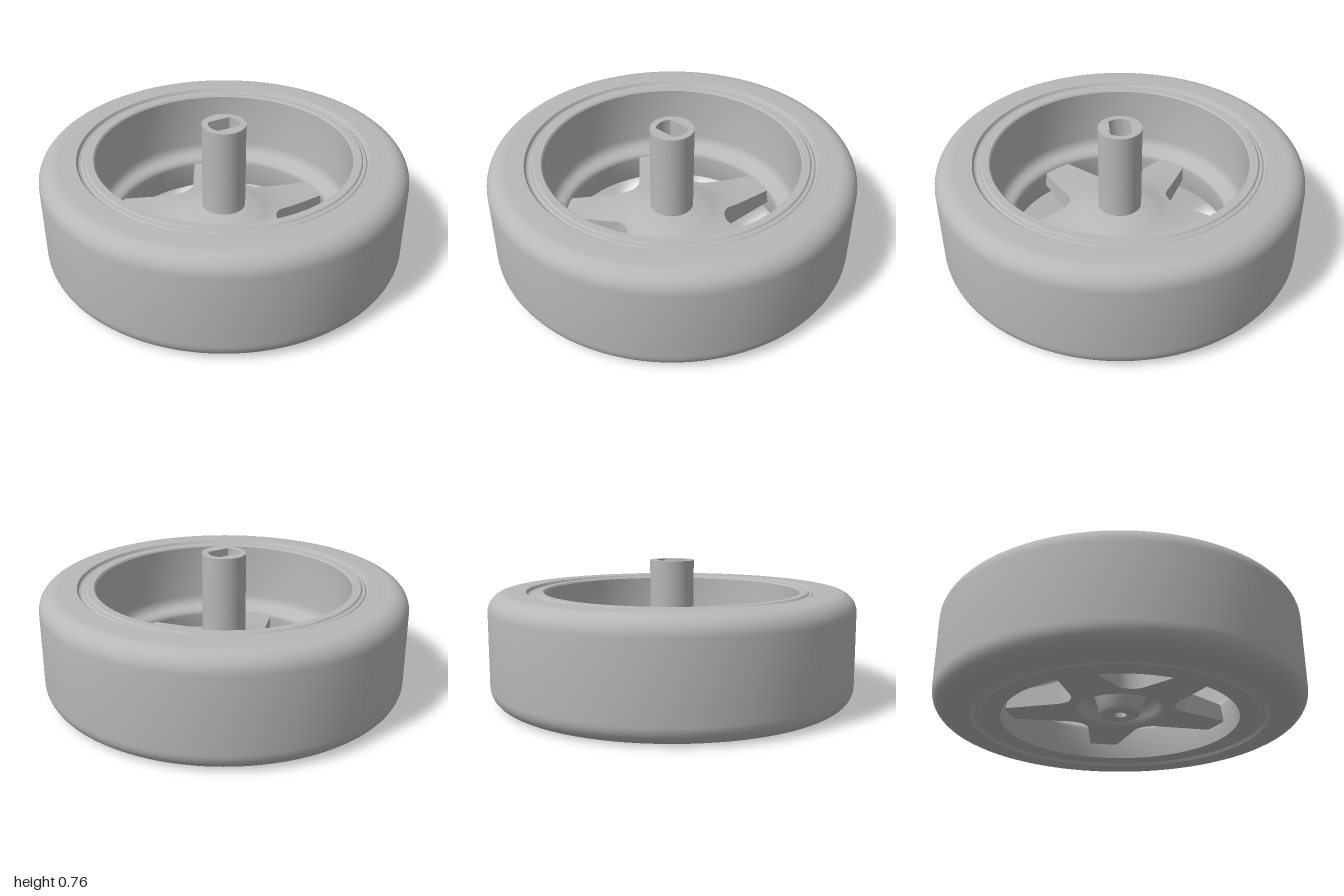
import * as THREE from 'three';
import { toCreasedNormals } from 'three/addons/utils/BufferGeometryUtils.js';

const grey = new THREE.MeshStandardMaterial({ color: 0xb8b8b8 });
grey.name = 'plain grey';

function addMesh(group, name, geometry, crease = 0.6) {
  const mesh = new THREE.Mesh(toCreasedNormals(geometry, crease), grey);
  mesh.name = name;
  group.add(mesh);
}

// Closed ring turned from a counter-clockwise (radius, height) section
function ring(section) {
  const pts = [...section, section[0]].map(([r, y]) => new THREE.Vector2(r, y));
  return new THREE.LatheGeometry(pts, 128);
}

// Quarter-round corner points
function corner(cx, cy, radius, start, sweep = Math.PI / 2, n = 8) {
  return Array.from({ length: n + 1 }, (_, i) => {
    const a = start + (sweep * i) / n;
    return [cx + radius * Math.cos(a), cy + radius * Math.sin(a)];
  });
}

// Linear interpolation through a height profile
function heightAt(profile, r) {
  for (let i = 1; i < profile.length; i++) {
    const [r0, y0] = profile[i - 1], [r1, y1] = profile[i];
    if (r <= r1) return y0 + ((y1 - y0) * (r - r0)) / (r1 - r0);
  }
  return profile[profile.length - 1][1];
}

// Half of one spoke outline, as [angle, radius] from the spoke axis to the valley
function halfSpoke() {
  const pts = [[0.628, 0], [0.628, 0.04], [0.627, 0.08]];
  for (let i = 1; i <= 6; i++) {
    const x = 0.627 - (0.32 * i) / 6;
    pts.push([x, 0.085 + 0.17 * (0.6 - x)]);
  }
  // Valley fillet centred on the bisector between two spokes
  const R = 0.105, bis = Math.PI / 5, d = 0.3 + R;
  const from = -Math.PI / 2 - 0.168, to = bis - Math.PI;
  for (let i = 1; i <= 8; i++) {
    const a = from + ((to - from) * i) / 8;
    pts.push([d * Math.cos(bis) + R * Math.cos(a), d * Math.sin(bis) + R * Math.sin(a)]);
  }
  return pts.map(([x, y]) => [Math.atan2(y, x), Math.hypot(x, y)]);
}

// Five-armed star: domed top, underside with a round recess and a centre boss
function starGeometry() {
  const under = [[0.036, 0.04], [0.1, 0.04], [0.115, 0.055], [0.13, 0.12], [0.145, 0.145],
    [0.17, 0.15], [0.195, 0.135], [0.215, 0.095], [0.23, 0.07], [0.245, 0.064], [0.27, 0.068], [0.63, 0.085]];
  const top = [[0.036, 0.26], [0.13, 0.258], [0.2, 0.242], [0.27, 0.218], [0.4, 0.192], [0.63, 0.176]];
  const half = halfSpoke();
  const outline = [];
  for (let s = 0; s < 5; s++) {
    const base = (s * 2 * Math.PI) / 5;
    half.slice(1).reverse().forEach(([a, r]) => outline.push([base - a, r]));
    half.slice(0, -1).forEach(([a, r]) => outline.push([base + a, r]));
  }
  const fixed = under.slice(0, -1).map((p) => p[0]);
  const pos = [], index = [];
  let n = 0;
  for (const [a, R] of outline) {
    const radii = [...fixed, ...[0.25, 0.5, 0.75, 1].map((t) => 0.27 + (R - 0.27) * t)];
    const loop = [
      ...radii.map((r) => [r, heightAt(under, r)]),
      ...radii.slice().reverse().map((r) => [r, heightAt(top, r)]),
    ];
    n = loop.length;
    for (const [r, y] of loop) pos.push(r * Math.cos(a), y, -r * Math.sin(a));
  }
  const m = outline.length;
  for (let i = 0; i < m; i++) {
    for (let j = 0; j < n; j++) {
      const i2 = (i + 1) % m, j2 = (j + 1) % n;
      const p = i * n + j, q = i2 * n + j, s = i2 * n + j2, t = i * n + j2;
      index.push(p, q, t, s, t, q);
    }
  }
  const g = new THREE.BufferGeometry();
  g.setAttribute('position', new THREE.Float32BufferAttribute(pos, 3));
  g.setIndex(index);
  return g;
}

// Axle tube with a round bore flattened on two sides
function hubGeometry() {
  const shape = new THREE.Shape().absarc(0, 0, 0.12, 0, 2 * Math.PI);
  const bore = new THREE.Path();
  const a = Math.asin(0.057 / 0.085);
  bore.absarc(0, 0, 0.085, -a, a, false);
  bore.absarc(0, 0, 0.085, Math.PI - a, Math.PI + a, false);
  bore.closePath();
  shape.holes.push(bore);
  const g = new THREE.ExtrudeGeometry(shape, { depth: 0.54, bevelEnabled: false, curveSegments: 32 });
  return g.rotateX(-Math.PI / 2).translate(0, 0.22, 0);
}

export function createModel() {
  const wheel = new THREE.Group();
  wheel.name = 'wheel';

  // Tyre with rounded shoulders
  addMesh(wheel, 'tyre', ring([
    [0.77, 0.02], [0.785, 0.015], [0.795, 0],
    ...corner(0.9, 0.1, 0.1, -Math.PI / 2),
    ...corner(0.9, 0.5, 0.1, 0),
    [0.795, 0.6], [0.785, 0.585], [0.77, 0.58],
  ]));

  // Rim: stepped edges, deep barrel and inner lip
  addMesh(wheel, 'rim', ring([
    [0.64, 0.003], [0.742, 0.003], [0.75, 0.012], [0.765, 0.012], [0.78, 0.025],
    [0.78, 0.575], [0.765, 0.588], [0.75, 0.588], [0.742, 0.597], [0.705, 0.597], [0.697, 0.588],
    [0.697, 0.27], [0.692, 0.245], [0.68, 0.225], [0.662, 0.213],
    [0.64, 0.207], [0.62, 0.197], [0.61, 0.185], [0.607, 0.17],
  ]));

  addMesh(wheel, 'spokes', starGeometry(), 0.75);
  addMesh(wheel, 'hub', hubGeometry());
  return wheel;
}
